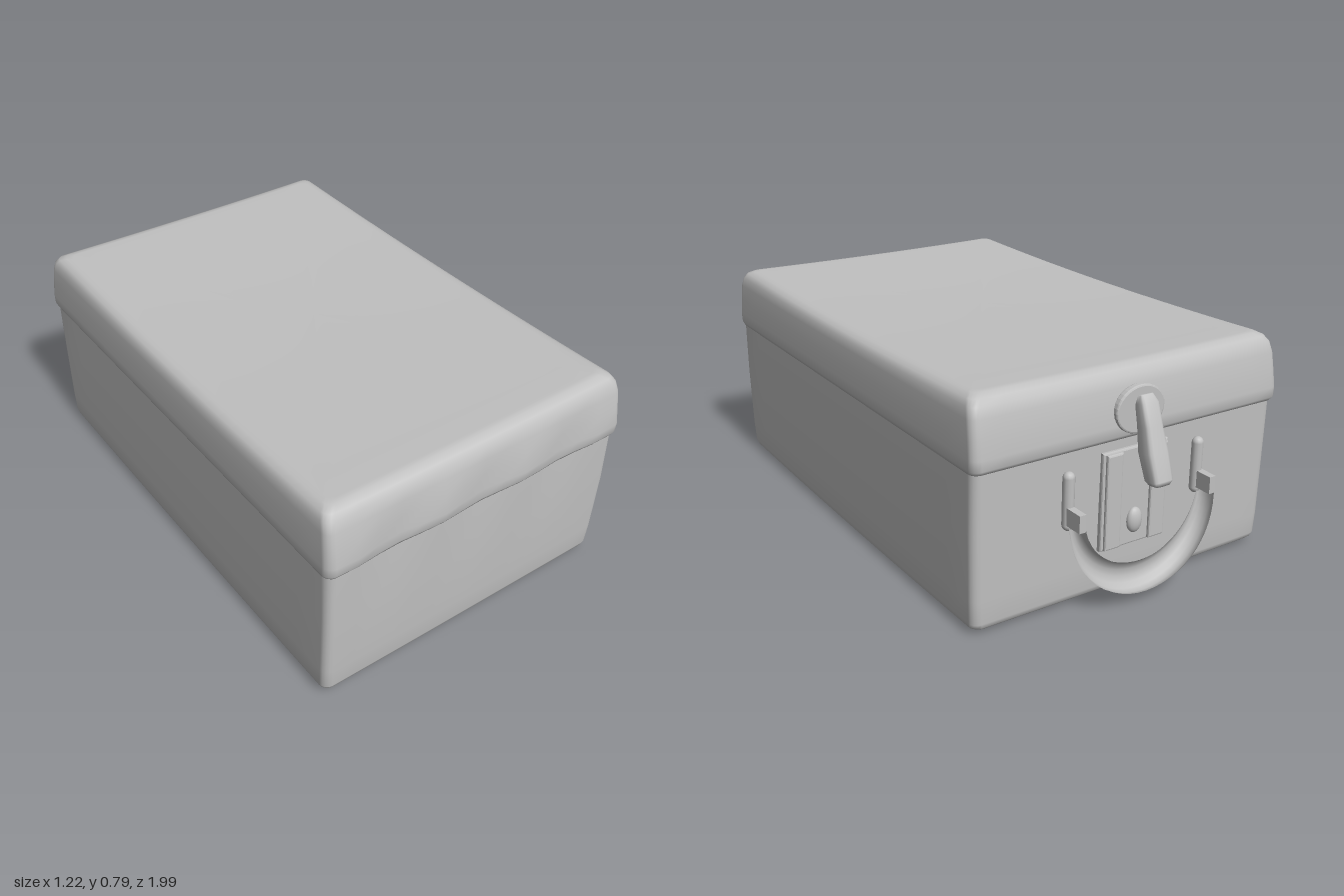
import * as THREE from 'three';

const grey = new THREE.MeshStandardMaterial({ color: 0xc0c0c0 });
grey.name = 'worn grey';

// Joins equal-length rings of points into a smooth skin (rings run upward, points run x to z)
function loft(rings, closeEnds = false) {
  const n = rings[0].length, pos = [], idx = [];
  rings.forEach(ring => ring.forEach(p => pos.push(...p)));
  for (let i = 0; i < rings.length - 1; i++) {
    for (let j = 0; j < n; j++) {
      const a = i * n + j, b = i * n + (j + 1) % n;
      idx.push(a, a + n, b, b, a + n, b + n);
    }
  }
  if (closeEnds) {
    const last = (rings.length - 1) * n;
    for (let j = 1; j < n - 1; j++) idx.push(0, j, j + 1, last, last + j + 1, last + j);
  }
  const g = new THREE.BufferGeometry();
  g.setAttribute('position', new THREE.Float32BufferAttribute(pos, 3));
  g.setIndex(idx);
  g.computeVertexNormals();
  return g;
}

// Rounded rectangle ring with subdivided straight edges
function caseRing([y, hx, zBack, zFront, r = 0.03]) {
  const corners = [], out = [], cz = (zBack + zFront) / 2, hz = (zFront - zBack) / 2;
  [[1, 1], [-1, 1], [-1, -1], [1, -1]].forEach(([sx, sz], q) => {
    for (let k = 0; k <= 4; k++) {
      const a = (q + k / 4) * Math.PI / 2;
      corners.push([sx * (hx - r) + r * Math.cos(a), cz + sz * (hz - r) + r * Math.sin(a)]);
    }
  });
  corners.forEach((p, i) => {
    const next = corners[(i + 1) % corners.length];
    const steps = i % 5 === 4 ? 14 : 1;
    for (let s = 0; s < steps; s++) {
      const t = s / steps;
      out.push(warp(p[0] + (next[0] - p[0]) * t, y, p[1] + (next[1] - p[1]) * t));
    }
  });
  return out;
}

// Dents: sagging top, uneven bottom, rippled lid rim
function warp(x, y, z) {
  const u = x / 0.6, w = (z - 0.06) / 0.91;
  if (y > 0.7) y -= (y - 0.7) / 0.09 * (0.018 * (1 - w * w) + 0.006 * (1 - u * u));
  if (y < 0.06) y += (0.06 - y) / 0.06 * (0.012 * w * w + 0.006 * u * u * (u < 0 ? 1 : 0));
  if (z > 0.94 && y > 0.5 && y < 0.72) z -= 0.01 * (1 + Math.cos(x * 18)) * (1 - Math.abs(y - 0.61) / 0.11);
  return [x, y, z];
}

// Flat cap: copies of one outline shrinking to its centre
const cap = (y, hx, zb, zf, scales) => scales.map(s => {
  const c = (zb + zf) / 2;
  return [y, hx * s, c + (zb - c) * s, c + (zf - c) * s, 0.03 * s];
});

function add(parent, name, geometry, x = 0, y = 0, z = 0) {
  const m = new THREE.Mesh(geometry, grey);
  m.name = name;
  m.position.set(x, y, z);
  parent.add(m);
  return m;
}

// Thin bevelled plate facing the back
function plate(shape, depth) {
  const g = new THREE.ExtrudeGeometry(shape, {
    depth, bevelEnabled: true, bevelSize: 0.006, bevelThickness: 0.006, bevelSegments: 2, curveSegments: 16
  });
  return g.rotateY(Math.PI);
}

function rect(w, h) {
  return new THREE.Shape([[-w, -h], [w, -h], [w, h], [-w, h]].map(p => new THREE.Vector2(p[0] / 2, p[1] / 2)));
}

export function createModel() {
  const model = new THREE.Group();
  model.name = 'case';

  // Lower case
  add(model, 'caseBody', loft([
    ...cap(0, 0.565, -0.81, 0.925, [0.001, 0.35, 0.7, 0.9, 1]),
    [0.004, 0.58, -0.828, 0.945], [0.014, 0.59, -0.836, 0.955], [0.035, 0.595, -0.842, 0.962],
    [0.12, 0.598, -0.845, 0.967], [0.35, 0.6, -0.848, 0.974], [0.57, 0.6, -0.852, 0.976]
  ].map(caseRing)));

  // Lid with slightly overhanging rim
  add(model, 'lid', loft([
    [0.555, 0.59, -0.845, 0.965], [0.55, 0.602, -0.856, 0.978], [0.565, 0.608, -0.868, 0.988],
    [0.6, 0.609, -0.868, 0.993], [0.66, 0.606, -0.86, 0.982], [0.72, 0.603, -0.85, 0.97],
    [0.755, 0.597, -0.838, 0.958], [0.775, 0.585, -0.822, 0.943], [0.787, 0.565, -0.8, 0.92],
    ...cap(0.79, 0.545, -0.78, 0.9, [1, 0.9, 0.7, 0.35, 0.001])
  ].map(caseRing)));

  // Lock plate with raised side strips and a keyhole boss
  const lock = new THREE.Group();
  lock.name = 'lock';
  model.add(lock);
  add(lock, 'lockPlate', plate(rect(0.25, 0.33), 0.012), 0, 0.345, -0.847);
  for (const s of [-1, 1]) add(lock, 'lockStrip', plate(rect(0.05, 0.32), 0.012), s * 0.09, 0.345, -0.859);
  add(lock, 'keyholeBoss', new THREE.SphereGeometry(1, 16, 12).scale(0.03, 0.045, 0.02), 0, 0.26, -0.868);

  // Hasp: round mount on the lid and tongue hanging outward
  const hasp = new THREE.Group();
  hasp.name = 'hasp';
  model.add(hasp);
  add(hasp, 'haspMount', plate(new THREE.Shape().absellipse(0, 0, 0.09, 0.075, 0, Math.PI * 2), 0.015), 0, 0.645, -0.857);
  const tongue = [
    // y, z centre, half width, half depth
    [0.42, -0.967, 0.028, 0.028], [0.435, -0.965, 0.04, 0.033], [0.52, -0.932, 0.042, 0.036],
    [0.6, -0.91, 0.036, 0.03], [0.67, -0.89, 0.036, 0.024], [0.695, -0.88, 0.026, 0.012]
  ].map(([y, z, hw, hd]) => Array.from({ length: 16 }, (_, j) => {
    const a = j / 16 * Math.PI * 2, c = Math.cos(a), s = Math.sin(a);
    return [-0.01 + hw * Math.sign(c) * Math.sqrt(Math.abs(c)),
      y - s * hd * 0.2, z + hd * Math.sign(s) * Math.sqrt(Math.abs(s))];
  }));
  add(hasp, 'haspTongue', loft(tongue, true));

  // Crescent carrying handle, thick in the middle and thin at both ends
  const rings = [];
  for (let i = 0; i <= 28; i++) {
    const t = -1 + i / 14, a = t * Math.PI * 0.5;
    const bulge = Math.cos(a);
    const cx = 0.265 * Math.sin(a * 0.96), cy = 0.345 - 0.26 * Math.pow(bulge, 0.9);
    const cz = -0.912 - 0.018 * bulge;
    const thick = 0.015 + 0.038 * bulge, depth = 0.036 + 0.008 * bulge;
    const nx = Math.sin(a), ny = -Math.cos(a);
    rings.push(Array.from({ length: 14 }, (_, j) => {
      const b = j / 14 * Math.PI * 2, o = Math.cos(b) * thick;
      return [cx + nx * o, cy + ny * o, cz - Math.sin(b) * depth];
    }));
  }
  // Ring order is flipped so the skin faces outward
  const handle = new THREE.Group();
  handle.name = 'handle';
  model.add(handle);
  add(handle, 'handleGrip', loft(rings.reverse().map(r => r.slice().reverse()), true));

  // Handle posts and hinge pegs
  for (const s of [-1, 1]) {
    add(handle, 'handlePost', new THREE.CapsuleGeometry(0.02, 0.16, 4, 12), s * 0.262, 0.39, -0.862);
    add(handle, 'hingePeg', new THREE.BoxGeometry(0.025, 0.06, 0.085), s * 0.264, 0.345, -0.9);
  }
  return model;
}
